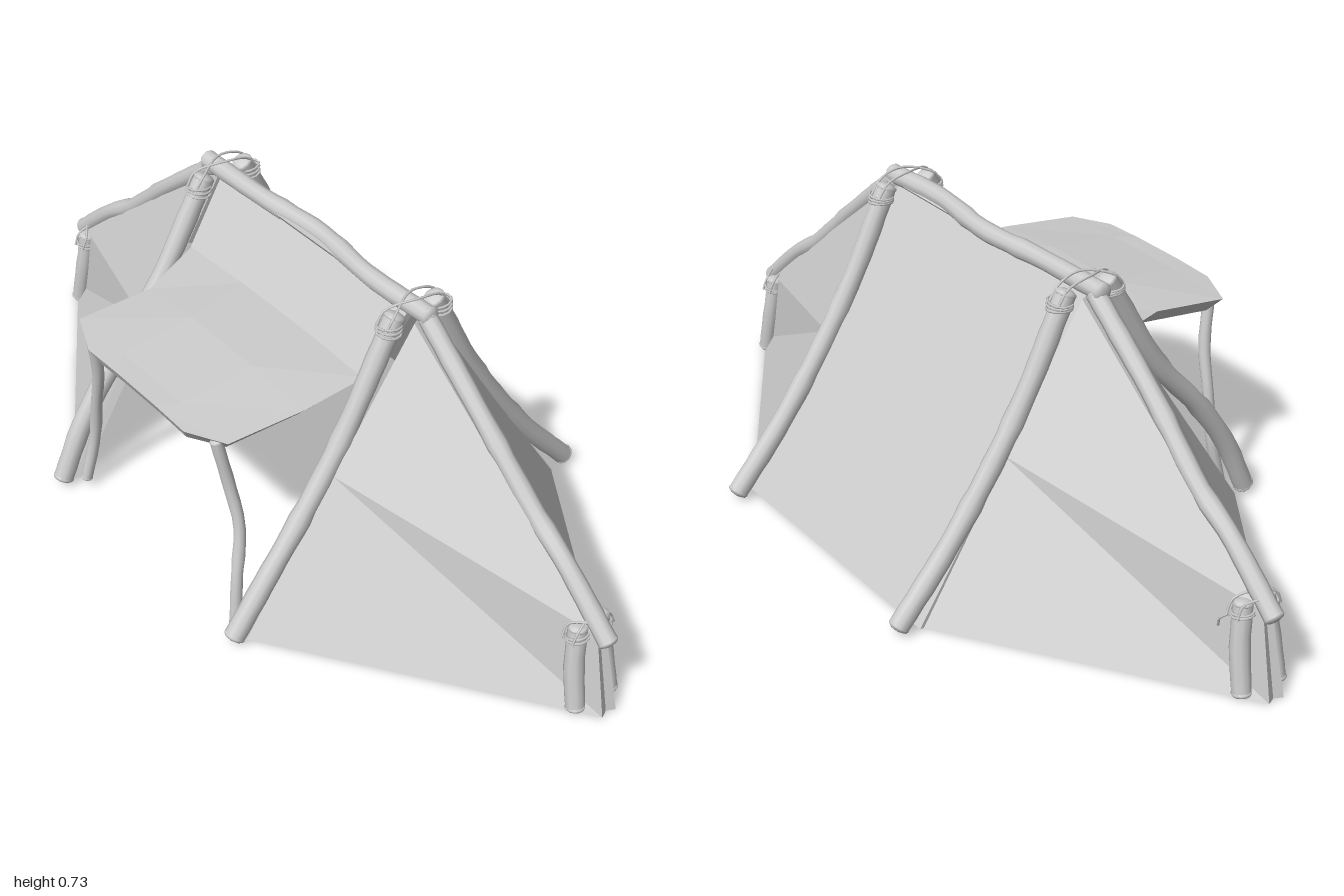
import * as THREE from 'three';
import { mergeGeometries } from 'three/addons/utils/BufferGeometryUtils.js';

const wood = new THREE.MeshStandardMaterial({ color: 0xcccccc });
const cloth = new THREE.MeshStandardMaterial({ color: 0xcccccc, flatShading: true, side: THREE.DoubleSide });
const V = (p) => new THREE.Vector3(...p);

function add(parent, name, geometry, material) {
  const mesh = new THREE.Mesh(geometry, material);
  mesh.name = name;
  parent.add(mesh);
  return mesh;
}

// Uneven branch: a tube with swollen knots and flattened round ends
function branch(parent, name, points, r) {
  const curve = new THREE.CatmullRomCurve3(points.map(V));
  const rings = Math.max(6, Math.round(curve.getLength() * 30)), sides = 10;
  const tube = new THREE.TubeGeometry(curve, rings, r, sides);
  const pos = tube.attributes.position;
  for (let i = 0; i <= rings; i++) {
    const c = curve.getPointAt(i / rings);
    const k = 1 + (i % 6 === 3 ? 0.08 : 0) + 0.03 * Math.sin(i * 1.7);
    for (let j = 0; j <= sides; j++) {
      const n = i * (sides + 1) + j;
      const v = new THREE.Vector3().fromBufferAttribute(pos, n).sub(c).multiplyScalar(k).add(c);
      pos.setXYZ(n, v.x, v.y, v.z);
    }
  }
  const ends = [0, 1].map((t) => {
    const c = curve.getPointAt(t);
    return new THREE.SphereGeometry(r * 1.06, 10, 6).scale(1, 1, 0.45).lookAt(curve.getTangentAt(t)).translate(c.x, c.y, c.z);
  });
  return add(parent, name, mergeGeometries([tube, ...ends]), wood);
}

// Cloth panel with thickness: rows of points, a shifted copy, and a closed rim
function panel(parent, name, rows, shift) {
  const out = [];
  const quad = (a, b, c, d) => out.push(...a, ...b, ...c, ...a, ...c, ...d);
  for (let i = 0; i < rows.length - 1; i++) {
    for (let j = 0; j < rows[i].length - 1; j++) {
      const [a, b, c, d] = [rows[i][j], rows[i + 1][j], rows[i + 1][j + 1], rows[i][j + 1]];
      quad(a, b, c, d);
      quad(shift(a), shift(d), shift(c), shift(b));
    }
  }
  const last = rows[0].length - 1;
  const rim = [...rows[0], ...rows.slice(1).map((r) => r[last]),
    ...rows[rows.length - 1].slice(0, last).reverse(), ...rows.slice(1, -1).map((r) => r[0]).reverse()];
  rim.forEach((p, i) => {
    const q = rim[(i + 1) % rim.length];
    quad(p, q, shift(q), shift(p));
  });
  const g = new THREE.BufferGeometry();
  g.setAttribute('position', new THREE.Float32BufferAttribute(out, 3));
  g.computeVertexNormals();
  return add(parent, name, g, cloth);
}

const by = (dx, dy, dz) => ([x, y, z]) => [x + dx, y + dy, z + dz];

// Rope wound round a pole at a point, square to the given direction
function coil(parent, at, dir, r, turns) {
  const d = V(dir).normalize();
  for (let i = 0; i < turns; i++) {
    const ring = add(parent, 'ropeTurn', new THREE.TorusGeometry(r, 0.003, 5, 12), wood);
    ring.position.copy(V(at)).addScaledVector(d, (i - (turns - 1) / 2) * 0.008);
    ring.quaternion.setFromUnitVectors(new THREE.Vector3(0, 0, 1), d);
    ring.rotateX((i - 1) * 0.12);
  }
}

function rope(parent, points) {
  const curve = new THREE.CatmullRomCurve3(points.map(V));
  add(parent, 'ropeStrand', new THREE.TubeGeometry(curve, 14, 0.003, 5), wood);
}

export function createModel() {
  const model = new THREE.Group();
  const frame = new THREE.Group(), canvas = new THREE.Group(), lashings = new THREE.Group();
  frame.name = 'poleFrame';
  canvas.name = 'canvas';
  lashings.name = 'lashings';
  model.add(frame, canvas, lashings);

  // Ridge pole
  branch(frame, 'ridgePole', [[0, 0.7, 0.385], [-0.008, 0.702, 0.2], [0.014, 0.7, 0], [0, 0.7, -0.18], [-0.004, 0.7, -0.395]], 0.022);

  for (const s of [1, -1]) {
    const end = s > 0 ? 'front' : 'back';
    const zf = s > 0 ? 0.335 : -0.345;

    // Sloping pole from the ridge to the low end
    branch(frame, end + 'SlopePole', [[0, 0.69, s * 0.38], [-0.002, 0.53, s * 0.575], [0.002, 0.385, s * 0.74],
      [0, 0.325, s * 0.83], [0, 0.2, s * 0.975]], 0.022);

    for (const x of [1, -1]) {
      const side = x > 0 ? 'Left' : 'Right';
      // Long legs; the one at the back right bows outward
      const bow = x < 0 && s < 0;
      const knees = bow ? [[-0.21, 0.44], [-0.34, 0.29], [-0.43, 0.16]]
        : x > 0 ? [[0.15, 0.5], [0.24, 0.35], [0.365, 0.175]] : [[-0.195, 0.435], [-0.3, 0.28], [-0.4, 0.15]];
      branch(frame, end + side + 'Leg', [[x * 0.055, 0.695], ...knees, [x * 0.495, 0.025]].map(([a, b]) => [a, b, zf]), 0.024);

      // Short posts holding the low end
      branch(frame, end + side + 'Post', [[x * 0.03, 0.215, s * 0.915], [x * 0.042, 0.12, s * 0.925], [x * 0.048, 0.015, s * 0.945]], 0.022);

      // Slanting end wall
      const [waist, foot] = x > 0 ? [0.222, 0.45] : [-0.235, -0.47];
      panel(canvas, end + side + 'Wall', [
        [[x * 0.025, 0.68, s * 0.365], [x * 0.012, 0.21, s * 0.955]],
        [[waist, 0.36, s * 0.355], [x * 0.012, 0.21, s * 0.955]],
        [[foot, 0.006, s * 0.345], [x * 0.02, 0.006, s * 1]],
      ], by(-x * 0.02, 0, -s * 0.01));

      // Rope round the leg tops and post tops
      coil(lashings, [x * 0.07, 0.672, zf], [x * 0.1, -1, 0], 0.028, 3);
      coil(lashings, [x * 0.033, 0.195, s * 0.917], [0, -1, s * 0.15], 0.025, 2);
    }
    // Rope crossing over the poles
    for (const d of [-0.016, 0.016]) {
      rope(lashings, [[-0.09, 0.68, zf + d], [-0.07, 0.708, zf + d], [0, 0.727, zf - d], [0.06, 0.712, zf - d], [0.085, 0.68, zf - d]]);
      rope(lashings, [[-0.06, 0.19, s * 0.915 + d], [-0.045, 0.222, s * 0.915 + d], [0, 0.237, s * 0.935 - d],
        [0.045, 0.222, s * 0.915 - d], [0.06, 0.19, s * 0.915 - d]]);
    }

    // Thin pole propping the awning, standing beside the leg foot
    branch(frame, end + 'AwningPole', [[-0.455, 0.495, s * 0.235], [-0.435, 0.37, s * 0.25], [-0.43, 0.27, s * 0.275],
      [s > 0 ? -0.455 : -0.43, 0.15, s * 0.295], [s > 0 ? -0.47 : -0.455, 0.03, s * 0.305]], 0.014);
  }
  // Loose rope end
  rope(lashings, [[0.05, 0.19, -0.9], [0.06, 0.17, -0.88], [0.055, 0.145, -0.87]]);

  // Closed roof on the left and short roof strip above the awning
  const across = (x, y) => [[x, y, 0.35], [x, y, -0.36]];
  panel(canvas, 'leftRoof', [across(0, 0.7), across(0.222, 0.36), across(0.45, 0.006)], by(-0.02, 0, 0));
  panel(canvas, 'rightRoofStrip', [[[0, 0.7, 0.33], [0, 0.7, -0.34]], [[-0.11, 0.535, 0.3], [-0.11, 0.535, -0.33]]], by(0.015, -0.01, 0));

  // Awning: clipped outer corners, edges tapering in toward the underside
  const sections = [
    // x, front z, back z, middle height, edge height
    [-0.105, 0.3, -0.33, 0.54, 0.535],
    [-0.27, 0.295, -0.268, 0.535, 0.522],
    [-0.45, 0.27, -0.288, 0.515, 0.508],
    [-0.498, 0.18, -0.18, 0.512, 0.508],
  ];
  panel(canvas, 'awning', sections.map(([x, zf, zb, ym, ye]) =>
    [[x, ye, zf], [x, ym, zf * 0.4], [x, ym, zb * 0.4], [x, ye, zb]]),
  ([x, y, z]) => [x * 0.96, y - 0.038, z * 0.88]);

  return model;
}
